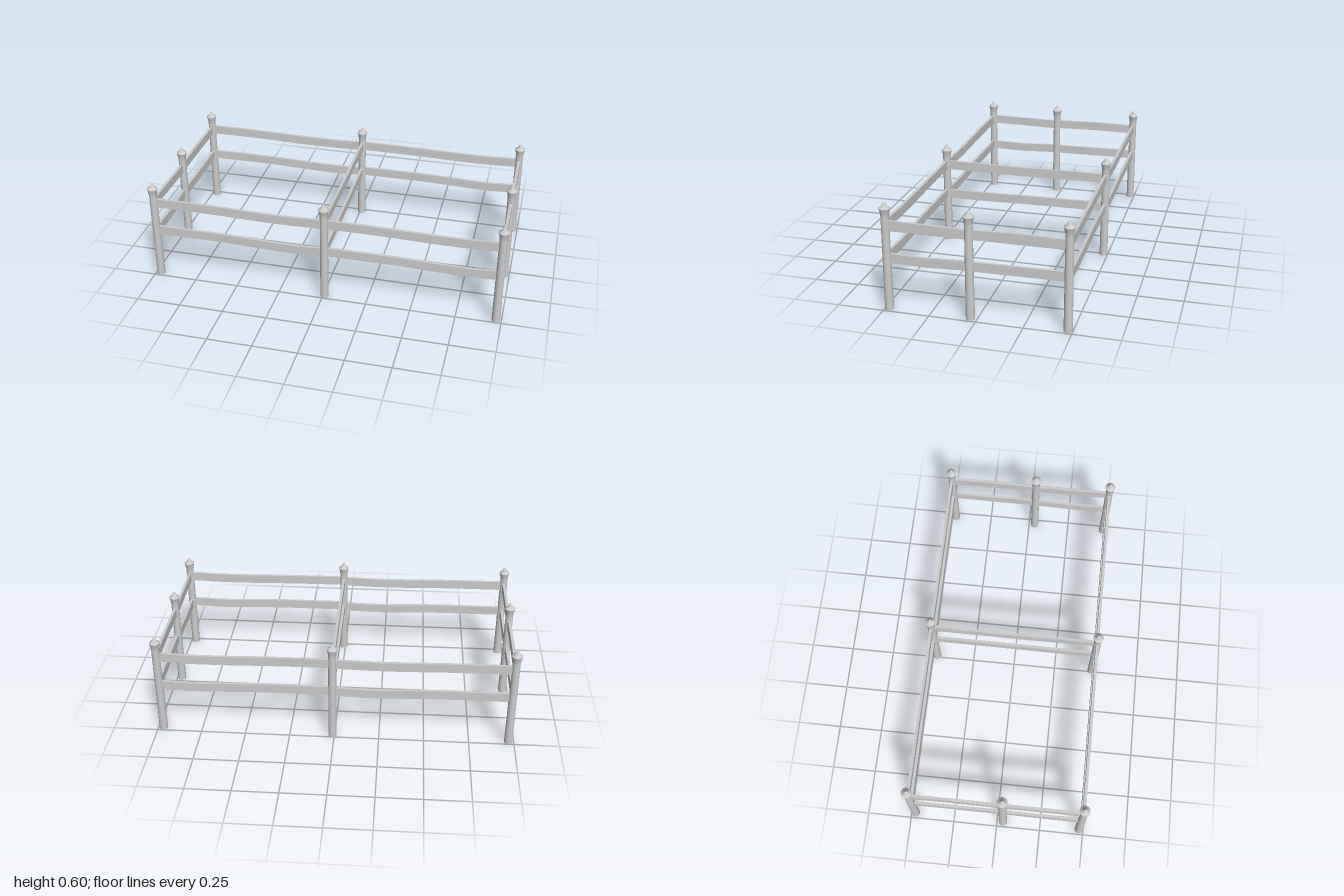
import * as THREE from 'three';

const material = new THREE.MeshStandardMaterial({ color: 0xcccccc });
const RAIL_HEIGHT = 0.051;
const RAIL_THICKNESS = 0.016;

// Turned post: plain shaft, flared collar and pointed ogee cap
function postGeometry() {
  const shaft = [[0, 0], [0.0235, 0], [0.0235, 0], [0.0225, 0.25], [0.0215, 0.515]];
  const collar = [[0.0225, 0.53], [0.0255, 0.547], [0.0295, 0.56], [0.0295, 0.564]];
  const cap = [[0.0225, 0.568], [0.0155, 0.575], [0.0105, 0.584], [0.0065, 0.592], [0.003, 0.596], [0, 0.597]];
  const points = [...shaft, ...collar, ...cap].map(([r, y]) => new THREE.Vector2(r, y));
  return new THREE.LatheGeometry(points, 20);
}

// Plank between two ground points [x, z]; its centre line follows the given heights
function makeRail(name, from, to, heights) {
  const dx = to[0] - from[0];
  const dz = to[1] - from[1];
  const length = Math.hypot(dx, dz);
  const curve = new THREE.SplineCurve(
    heights.map((h, i) => new THREE.Vector2(i / (heights.length - 1), h)));
  const geometry = new THREE.BoxGeometry(length, RAIL_HEIGHT, RAIL_THICKNESS, 12, 1, 1);
  const pos = geometry.attributes.position;
  for (let i = 0; i < pos.count; i++) {
    const t = THREE.MathUtils.clamp(pos.getX(i) / length + 0.5, 0, 1);
    pos.setY(i, pos.getY(i) + curve.getPoint(t).y);
  }
  geometry.computeVertexNormals();
  const rail = new THREE.Mesh(geometry, material);
  rail.name = name;
  rail.position.set((from[0] + to[0]) / 2, 0, (from[1] + to[1]) / 2);
  rail.rotation.y = Math.atan2(-dz, dx);
  return rail;
}

export function createModel() {
  const group = new THREE.Group();
  group.name = 'paddockFence';
  const X = 0.97;
  const Z = 0.476;
  const midX = 0.01;
  const midZ = 0.035;

  // Posts at the corners and part way along every side
  const posts = [
    [-X, Z], [midX, Z], [X, Z],
    [-X, -Z], [midX, -Z], [X, -Z],
    [-X, midZ], [X, midZ],
  ];
  const geometry = postGeometry();
  for (const [x, z] of posts) {
    const post = new THREE.Mesh(geometry, material);
    post.name = 'post';
    post.position.set(x, 0, z);
    group.add(post);
  }

  // Long sides: two gently sagging spans, each with an upper and a lower rail
  for (const [side, z] of [['front', Z], ['back', -Z]]) {
    group.add(
      makeRail(side + 'UpperRail', [-X, z], [midX, z], [0.474, 0.474, 0.472, 0.467, 0.466, 0.471]),
      makeRail(side + 'LowerRail', [-X, z], [midX, z], [0.298, 0.298, 0.298, 0.292, 0.287, 0.293]),
      makeRail(side + 'UpperRail', [midX, z], [X, z], [0.474, 0.473, 0.471, 0.467, 0.466, 0.473]),
      makeRail(side + 'LowerRail', [midX, z], [X, z], [0.298, 0.298, 0.298, 0.293, 0.287, 0.295]),
    );
  }

  // Short sides, split at the off-centre post
  for (const [side, x] of [['right', X], ['left', -X]]) {
    group.add(
      makeRail(side + 'UpperRail', [x, Z], [x, midZ], [0.472, 0.471, 0.469, 0.467, 0.466]),
      makeRail(side + 'LowerRail', [x, Z], [x, midZ], [0.292, 0.289, 0.288, 0.293, 0.296]),
      makeRail(side + 'UpperRail', [x, midZ], [x, -Z], [0.468, 0.471, 0.473, 0.472, 0.470]),
      makeRail(side + 'LowerRail', [x, midZ], [x, -Z], [0.296, 0.296, 0.297, 0.298, 0.298]),
    );
  }

  // Rails dividing the pen across the middle
  group.add(
    makeRail('dividerUpperRail', [midX, Z], [midX, -Z], [0.472, 0.470, 0.468, 0.471, 0.471]),
    makeRail('dividerLowerRail', [midX, Z], [midX, -Z], [0.292, 0.291, 0.295, 0.297, 0.297]),
  );
  return group;
}
